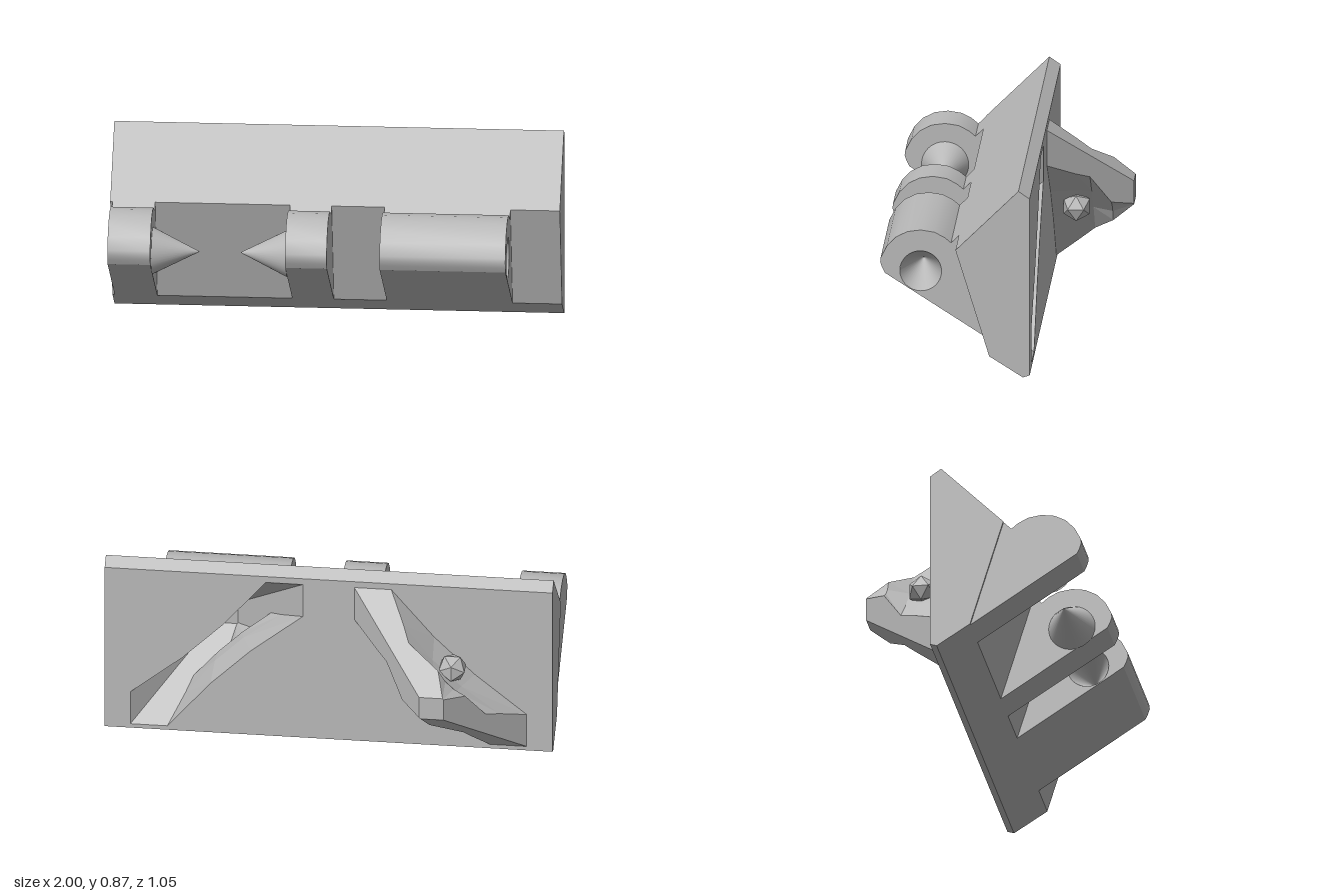
import * as THREE from 'three';
import { mergeGeometries, toCreasedNormals } from 'three/addons/utils/BufferGeometryUtils.js';

const BACK = -0.16;                    // z of the flat mating face
const PIVOT = { y: 0.417, z: 0.34 };   // hinge axis

const fromPositions = (pos) => {
  const g = new THREE.BufferGeometry();
  g.setAttribute('position', new THREE.Float32BufferAttribute(pos, 3));
  g.computeVertexNormals();
  return g;
};
const plain = (g) => {
  const n = g.index ? g.toNonIndexed() : g;
  n.deleteAttribute('uv');
  return n;
};
const toShape = (pts) => new THREE.Shape(pts.map(([a, b]) => new THREE.Vector2(a, b)));

// Prism along x from a [z, y] profile; the closing edge is left open
function prism(profile, x0, x1, holeRadius = 0) {
  const pos = [];
  for (let i = 0; i < profile.length - 1; i++) {
    const [pz, py] = profile[i], [qz, qy] = profile[i + 1];
    pos.push(x1, py, pz, x1, qy, qz, x0, qy, qz);
    pos.push(x1, py, pz, x0, qy, qz, x0, py, pz);
  }
  const cap = (side) => {
    const shape = toShape(profile.map(([z, y]) => [-side * z, y]));
    if (holeRadius) {
      const hole = new THREE.Path();
      hole.absarc(-side * PIVOT.z, PIVOT.y, holeRadius, 0, Math.PI * 2, true);
      shape.holes.push(hole);
    }
    const g = new THREE.ShapeGeometry(shape, 16);
    g.rotateY(side * Math.PI / 2).translate(side > 0 ? x1 : x0, 0, 0);
    return plain(g);
  };
  return toCreasedNormals(mergeGeometries([fromPositions(pos), cap(1), cap(-1)]), 0.5);
}

// Cross-section of the locking key: a square clipped to a wavy diagonal band
function keyRing([t, h, w]) {
  const a = 0.385 - 0.904 * t;
  const pts = [
    [-a, a], [-a, a - h],
    [-a + (2 * a - h) * 0.35 + w / 2, a - h - (2 * a - h) * 0.35 + w / 2],
    [-a + (2 * a - h) * 0.65 + w / 2, a - h - (2 * a - h) * 0.65 + w / 2],
    [a - h, -a],
  ];
  const all = pts.concat(pts.map(([u, v]) => [-u, -v]));
  return all.map(([u, v]) => [u + 0.5, v + 0.415, t]);
}
const keyLevels = [[0, 0.165, 0.04], [0.12, 0.125, 0.04], [0.18, 0.1, 0.02], [0.27, 0.16, 0.02], [0.365, 0.105, 0]];

// Loft through the key sections; inward turns the faces to line a socket
function keyGeometry(inward) {
  const rings = keyLevels.map(keyRing), pos = [];
  const tri = (a, b, c) => pos.push(...a, ...(inward ? c : b), ...(inward ? b : c));
  for (let k = 0; k < rings.length - 1; k++) {
    const A = rings[k], B = rings[k + 1];
    A.forEach((p, i) => {
      const j = (i + 1) % A.length;
      tri(p, A[j], B[j]);
      tri(p, B[j], B[i]);
    });
  }
  const top = rings[rings.length - 1];
  for (let i = 1; i < top.length - 1; i++) tri(top[0], top[i], top[i + 1]);
  return fromPositions(pos);
}

// Cone on the hinge axis pointing along dir
function axisCone(radius, xBase, dir, open) {
  const g = new THREE.ConeGeometry(radius, 0.21, 40, 1, open);
  g.rotateZ(-dir * Math.PI / 2).translate(xBase + dir * 0.105, PIVOT.y, PIVOT.z);
  return g;
}

export function createModel() {
  const group = new THREE.Group();
  const gray = new THREE.MeshStandardMaterial({ color: 0xb8b8b8 });
  gray.name = 'plain gray';
  const add = (name, geometry) => {
    const mesh = new THREE.Mesh(geometry, gray);
    mesh.name = name;
    group.add(mesh);
    return mesh;
  };

  // Long wedge-shaped body
  add('body', prism([[BACK, 0.01], [-0.13, 0], [0.02, 0.095], [0.17, 0.585], [-0.11, 0.865], [BACK, 0.83]], -1, 1));

  // Flat back face with the socket opening
  const back = toShape([[-1, 0.01], [1, 0.01], [1, 0.83], [-1, 0.83]]);
  back.holes.push(new THREE.Path(keyRing(keyLevels[0]).map(([x, y]) => new THREE.Vector2(-x, y))));
  add('backFace', new THREE.ShapeGeometry(back).rotateY(Math.PI).translate(0, 0, BACK));

  // Locking key and its matching socket
  add('lockingKey', keyGeometry(false).rotateY(Math.PI).translate(0, 0, BACK));
  add('lockingSocket', keyGeometry(true).translate(0, 0, BACK));

  // Faceted knobs on both flanks of the key
  for (const s of [-1, 1]) {
    const knob = new THREE.IcosahedronGeometry(0.068, 0);
    knob.translate(-0.5 - s * 0.065, 0.415 + s * 0.065, -0.27);
    add('keyKnob', knob);
  }

  // Hinge knuckles
  const knuckle = [
    [0.02, 0.095], [0.5, 0.405], [0.512, 0.43], [0.52, 0.455], [0.518, 0.475], [0.49, 0.53], [0.45, 0.572],
    [0.4, 0.598], [0.34, 0.607], [0.28, 0.598], [0.235, 0.575], [0.205, 0.55], [0.17, 0.585],
  ];
  add('outerKnuckle', prism(knuckle, -0.99, -0.8));
  add('middleKnuckle', prism(knuckle, -0.2, -0.015));
  add('longKnuckle', prism(knuckle, 0.22, 0.78, 0.093));

  // Pivot cones facing each other
  add('outerPivot', axisCone(0.105, -0.8, 1, false));
  add('middlePivot', axisCone(0.105, -0.2, -1, false));

  // Conical pivot holes, mirrored so their inner side shows
  for (const [x, dir] of [[0.22, 1], [0.78, -1]]) {
    const hole = axisCone(0.093, -x, -dir, true).scale(-1, 1, 1);
    hole.computeVertexNormals();
    add('pivotHole', hole);
  }
  return group;
}
